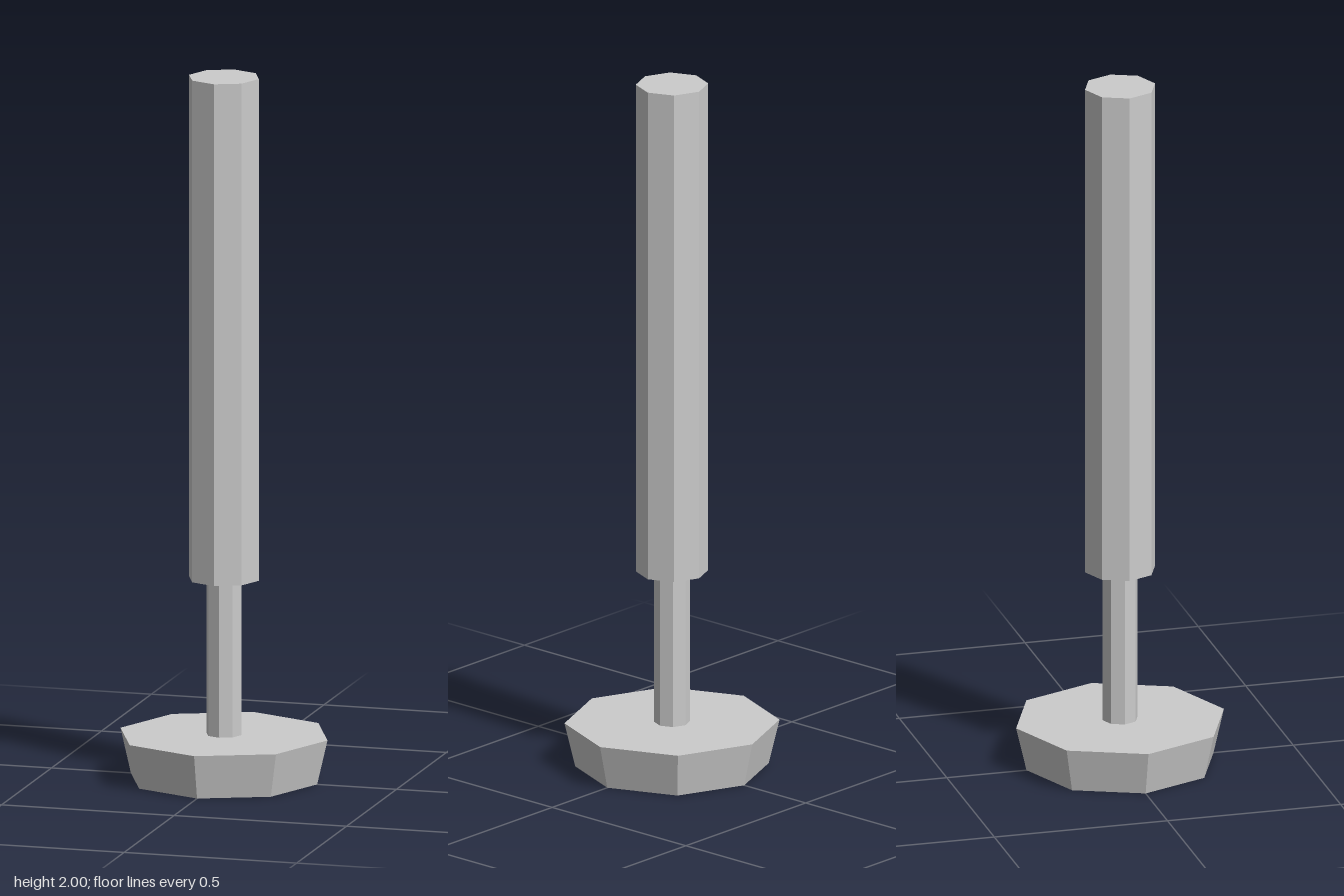
import * as THREE from 'three';

const SIDES = 8;

export function createModel() {
  const model = new THREE.Group();
  const material = new THREE.MeshStandardMaterial({ color: 0xcccccc, flatShading: true });

  // Octagonal section standing between two heights
  function addSection(name, topRadius, bottomRadius, y0, y1) {
    const geometry = new THREE.CylinderGeometry(topRadius, bottomRadius, y1 - y0, SIDES);
    const mesh = new THREE.Mesh(geometry, material);
    mesh.name = name;
    mesh.position.y = (y0 + y1) / 2;
    model.add(mesh);
  }

  addSection('foot', 0.3, 0.27, 0, 0.127); // flares outward towards its top
  addSection('rod', 0.05, 0.05, 0.127, 0.57);
  addSection('sleeve', 0.101, 0.101, 0.57, 2);

  return model;
}
